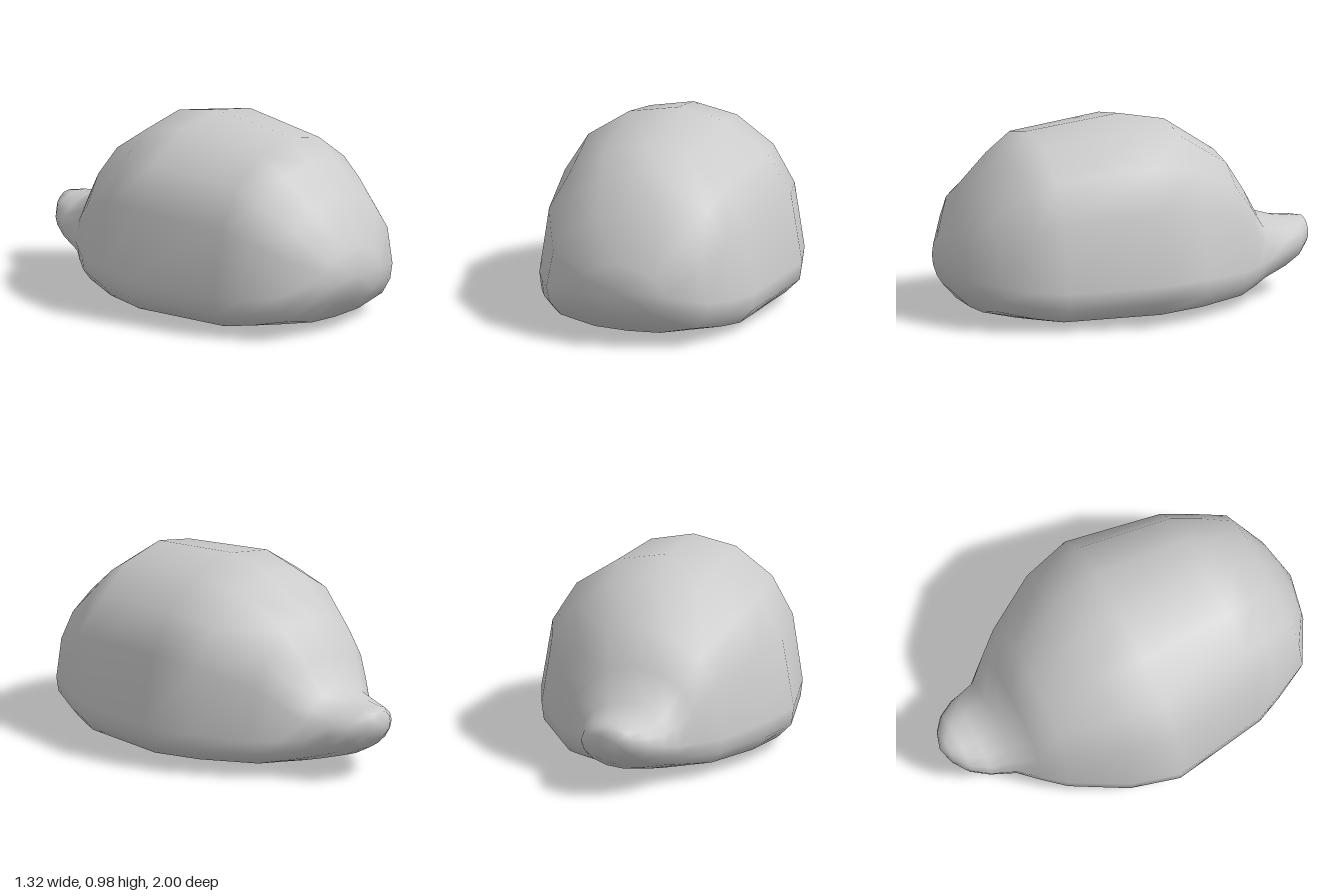
import * as THREE from 'three';

// Half cross-section of the domed body, crown to belly: [share of half width, share of height]
const DOME = [[0, 1], [0.39, 0.95], [0.72, 0.8], [0.91, 0.59], [1, 0.22], [0.98, 0.125], [0.87, 0.05], [0.41, 0], [0, 0]];

// Sections from front to back: [z, half width, top, bottom, roundness]
const SECTIONS = [
  [0.95, 0.23, 0.43, 0.15, 0.9],
  [0.84, 0.43, 0.67, 0.05, 0.3],
  [0.67, 0.51, 0.83, 0.02, 0.05],
  [0.53, 0.57, 0.93, 0.0, 0],
  [0.03, 0.66, 0.98, 0.01, 0],
  [-0.22, 0.59, 0.93, 0.02, 0],
  [-0.49, 0.43, 0.75, 0.03, 0.05],
  [-0.6, 0.34, 0.58, 0.05, 0.25],
  [-0.69, 0.26, 0.42, 0.07, 0.6],
  [-0.82, 0.22, 0.38, 0.11, 1],
  [-0.91, 0.165, 0.375, 0.16, 1],
  [-0.97, 0.09, 0.365, 0.22, 1],
];
const TIP_Y = 0.3;

// Full ring of points, blended between the dome profile and an ellipse
function ring([z, w, top, bottom, round]) {
  const half = DOME.map(([dx, dy], j) => {
    const a = (j / (DOME.length - 1)) * Math.PI;
    const x = THREE.MathUtils.lerp(dx, Math.sin(a), round);
    const y = THREE.MathUtils.lerp(dy, (1 + Math.cos(a)) / 2, round);
    return [x * w, bottom + y * (top - bottom), z];
  });
  const mirrored = half.slice(1, -1).reverse().map(([x, y, zz]) => [-x, y, zz]);
  return [...half, ...mirrored];
}

// Skin through all the sections, closed by a point at each end
function loftGeometry() {
  const rings = SECTIONS.map(ring);
  const n = rings[0].length;
  const points = [...rings.flat(), [0, TIP_Y, 1], [0, TIP_Y, -1]];
  const front = rings.length * n;
  const back = front + 1;
  const last = (rings.length - 1) * n;
  const index = [];
  for (let j = 0; j < n; j++) {
    const k = (j + 1) % n;
    for (let i = 0; i < rings.length - 1; i++) {
      const a = i * n + j, b = i * n + k, c = a + n, d = b + n;
      index.push(a, b, c, b, d, c);
    }
    index.push(front, k, j, back, last + j, last + k);
  }
  const geometry = new THREE.BufferGeometry();
  geometry.setAttribute('position', new THREE.Float32BufferAttribute(points.flat(), 3));
  geometry.setIndex(index);
  geometry.computeVertexNormals();
  return geometry;
}

export function createModel() {
  const model = new THREE.Group();
  model.name = 'domedShell';
  const body = new THREE.Mesh(loftGeometry(), new THREE.MeshStandardMaterial({ color: 0xcccccc }));
  body.name = 'bodyWithKnob';
  model.add(body);
  return model;
}
